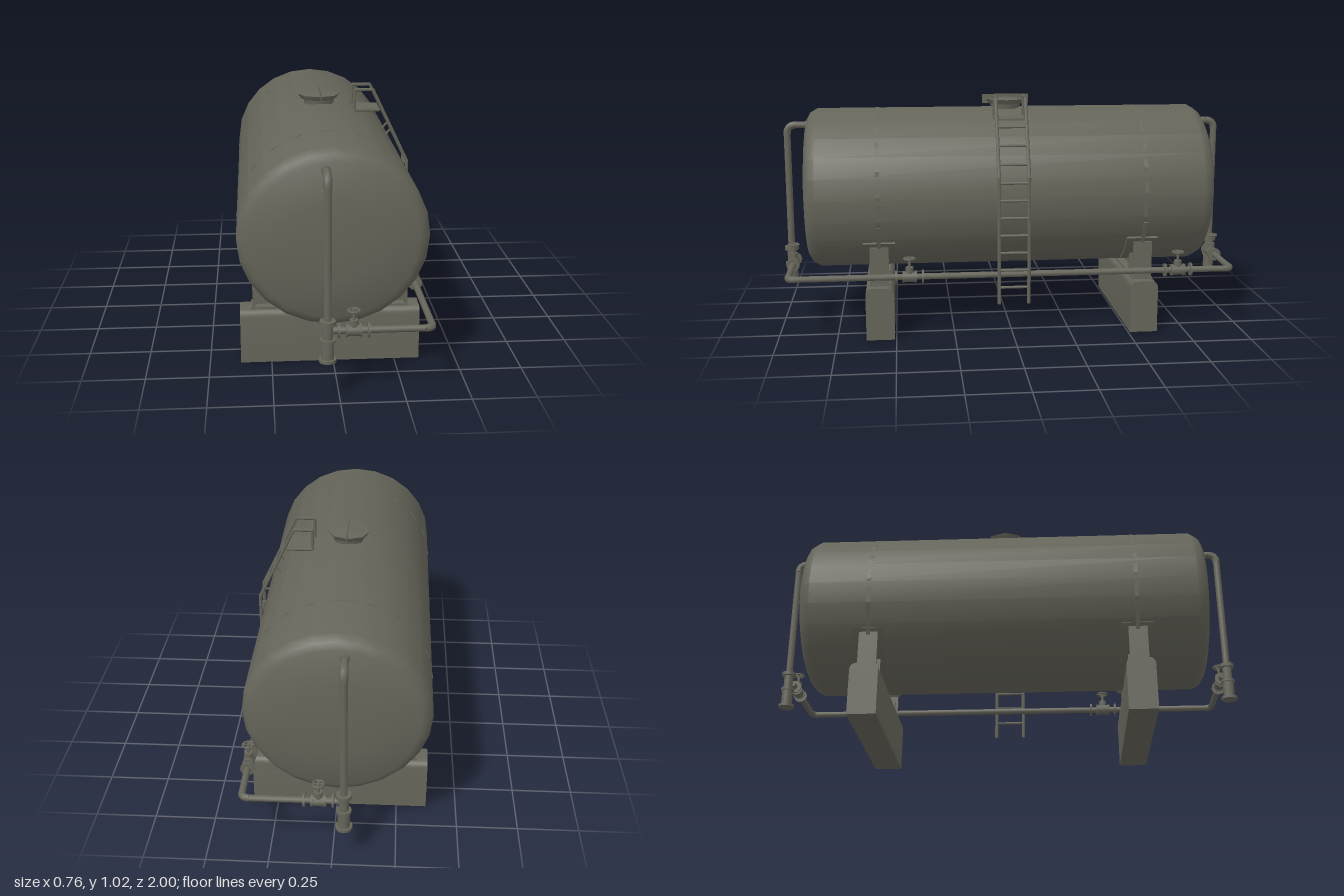
import * as THREE from 'three';
import { toCreasedNormals } from 'three/addons/utils/BufferGeometryUtils.js';

const paint = new THREE.MeshStandardMaterial({ color: 0x66655a });
paint.name = 'olive grey paint';

const CX = -0.015, CY = 0.6, RX = 0.365, RY = 0.35; // tank cross-section
const V = (x, y, z) => new THREE.Vector3(x, y, z);

function add(parent, name, geometry, x = 0, y = 0, z = 0) {
  const mesh = new THREE.Mesh(geometry, paint);
  mesh.name = name;
  mesh.position.set(x, y, z);
  parent.add(mesh);
  return mesh;
}

function box(parent, name, w, h, d, x, y, z) {
  return add(parent, name, new THREE.BoxGeometry(w, h, d), x, y, z);
}

// Round bar (or cone frustum) between two points
function bar(parent, name, a, b, r, sides = 10, rEnd = r) {
  const mesh = add(parent, name, new THREE.CylinderGeometry(rEnd, r, a.distanceTo(b), sides));
  mesh.position.copy(a).lerp(b, 0.5);
  mesh.quaternion.setFromUnitVectors(V(0, 1, 0), b.clone().sub(a).normalize());
  return mesh;
}

// Pipe through corner points, with a rounded elbow at each inner corner
function pipe(parent, name, pts, r, bend) {
  let start = pts[0];
  for (let i = 1; i < pts.length; i++) {
    const p = pts[i];
    if (i === pts.length - 1) { bar(parent, name, start, p, r); break; }
    const into = p.clone().add(start.clone().sub(p).setLength(bend));
    const out = p.clone().add(pts[i + 1].clone().sub(p).setLength(bend));
    bar(parent, name, start, into, r);
    add(parent, name + 'Elbow',
      new THREE.TubeGeometry(new THREE.QuadraticBezierCurve3(into, p, out), 6, r * 1.1, 10));
    start = out;
  }
}

// Curved band hugging the tank between two angles in degrees
function band(parent, name, from, to, thick, width, z) {
  const shape = new THREE.Shape(), n = 14, rad = Math.PI / 180;
  for (let i = 0; i <= 2 * n + 1; i++) {
    const outer = i <= n;
    const t = (outer ? from + (to - from) * i / n : to - (to - from) * (i - n - 1) / n) * rad;
    const o = outer ? thick : -0.01;
    const x = CX + (RX + o) * Math.cos(t), y = CY + (RY + o) * Math.sin(t);
    if (i) shape.lineTo(x, y); else shape.moveTo(x, y);
  }
  const g = new THREE.ExtrudeGeometry(shape, { depth: width, bevelEnabled: false });
  add(parent, name, g, 0, 0, z - width / 2);
}

// Valve centred on a pipe that runs along local x, with a handwheel on top
function valve(parent, x, y, z, turn) {
  const g = new THREE.Group();
  g.name = 'valve';
  for (const s of [-1, 1]) {
    bar(g, 'valveFlange', V(s * 0.052, 0, 0), V(s * 0.06, 0, 0), 0.029, 12);
    bar(g, 'valveCollar', V(s * 0.022, 0, 0), V(s * 0.03, 0, 0), 0.026, 12);
  }
  bar(g, 'valveBody', V(-0.025, 0, 0), V(0.025, 0, 0), 0.023, 12);
  bar(g, 'valveBonnet', V(0, 0, 0), V(0, 0.042, 0), 0.017, 10);
  bar(g, 'valveStem', V(0, 0.04, 0), V(0, 0.084, 0), 0.006, 8);
  const wheel = add(g, 'handwheel', new THREE.TorusGeometry(0.023, 0.0045, 6, 14), 0, 0.078, 0);
  wheel.rotation.x = Math.PI / 2;
  box(g, 'wheelSpoke', 0.044, 0.005, 0.007, 0, 0.078, 0);
  box(g, 'wheelSpoke', 0.007, 0.005, 0.044, 0, 0.078, 0);
  g.position.set(x, y, z);
  g.rotation.y = turn;
  parent.add(g);
}

function group(parent, name) {
  const g = new THREE.Group();
  g.name = name;
  parent.add(g);
  return g;
}

export function createModel() {
  const model = new THREE.Group();
  model.name = 'storageTank';

  // Tank shell with bevelled rims and shallow conical ends
  const half = [[0.365, 0.825], [0.345, 0.858], [0.318, 0.873], [0.17, 0.888], [0, 0.902]];
  const profile = [
    ...half.slice().reverse().map(([r, z]) => new THREE.Vector2(r, -z)),
    ...half.map(([r, z]) => new THREE.Vector2(r, z)),
  ];
  const shell = new THREE.LatheGeometry(profile, 24);
  shell.rotateX(Math.PI / 2);
  shell.scale(1, RY / RX, 1);
  add(model, 'tankShell', toCreasedNormals(shell, 0.55), CX, CY, 0);

  // Foundation blocks, saddles and hold-down straps
  for (const s of [-1, 1]) {
    const z = s * 0.567;
    const support = group(model, 'support');
    const outline = new THREE.Shape();
    outline.moveTo(-0.06, 0);
    outline.lineTo(0.06, 0);
    outline.lineTo(0.06, 0.195);
    outline.quadraticCurveTo(0.058, 0.223, 0.035, 0.225);
    outline.lineTo(-0.035, 0.225);
    outline.quadraticCurveTo(-0.058, 0.223, -0.06, 0.195);
    const block = new THREE.ExtrudeGeometry(outline, { depth: 0.727, bevelEnabled: false, curveSegments: 5 });
    block.rotateY(Math.PI / 2);
    add(support, 'foundationBlock', toCreasedNormals(block, 0.6), -0.375, 0, z);

    box(support, 'saddleBase', 0.64, 0.008, 0.085, -0.01, 0.229, z);
    box(support, 'saddleWeb', 0.62, 0.165, 0.014, -0.01, 0.306, z);
    for (const x of [-0.318, 0.298]) box(support, 'saddleEndPlate', 0.012, 0.165, 0.08, x, 0.307, z);
    for (const x of [-0.222, 0.215]) box(support, 'saddleRib', 0.008, 0.1, 0.08, x, 0.275, z);
    band(support, 'saddlePad', -62, -33, 0.008, 0.135, z);
    band(support, 'saddlePad', -147, -118, 0.008, 0.135, z);
    band(support, 'strap', -33, 213, 0.0015, 0.018, z);
    for (const side of [-1, 1]) {
      const lug = box(support, 'strapLug', 0.006, 0.12, 0.016, CX + side * 0.335, 0.43, z);
      lug.rotation.z = -side * 0.42;
    }
  }

  // Manhole: neck, flared octagonal lid and hinge fin
  const hatch = group(model, 'manhole');
  bar(hatch, 'hatchNeck', V(-0.017, 0.93, 0), V(-0.017, 0.966, 0), 0.062, 12, 0.068);
  bar(hatch, 'hatchLid', V(-0.018, 0.964, 0), V(-0.018, 0.984, 0), 0.078, 8, 0.09);
  add(hatch, 'hatchCrown', new THREE.ConeGeometry(0.085, 0.01, 8), -0.018, 0.988, 0);
  box(hatch, 'hatchFin', 0.004, 0.04, 0.205, -0.013, 0.985, 0);

  // Ladder with bent rails, rungs and a small top platform
  const ladder = group(model, 'ladder');
  const rail = [[0.37, 0.15], [0.37, 0.688], [0.215, 1.01], [0.135, 1.01], [0.135, 0.92], [0.245, 0.92]];
  for (const z of [-0.063, 0.063]) {
    for (let i = 1; i < rail.length; i++) {
      bar(ladder, 'ladderRail', V(...rail[i - 1], z), V(...rail[i], z), 0.0075, 6);
    }
    for (const y of [0.5, 0.66]) bar(ladder, 'ladderBracket', V(0.33, y, z), V(0.37, y, z), 0.005, 6);
    bar(ladder, 'ladderBracket', V(0.265, 0.8, z), V(0.3, 0.84, z), 0.005, 6);
  }
  for (let i = 0; i < 10; i++) {
    const y = 0.222 + i * 0.0745;
    const x = y < 0.688 ? 0.37 : 0.37 - (y - 0.688) * 0.481;
    bar(ladder, 'ladderRung', V(x, y, -0.063), V(x, y, 0.063), 0.006, 6);
  }
  box(ladder, 'platform', 0.112, 0.007, 0.13, 0.19, 0.92, 0);

  // Pipework: side main with end branches, and a riser at each end
  const piping = group(model, 'pipework');
  const py = 0.275, pz = 0.947, px = 0.352;
  pipe(piping, 'mainPipe', [
    V(-0.045, py, pz), V(px, py, pz), V(px, py, -pz), V(-0.045, py, -pz),
  ], 0.0135, 0.03);
  valve(piping, px, py, 0.44, Math.PI / 2);
  valve(piping, px, py, -0.71, Math.PI / 2);
  for (const s of [-1, 1]) {
    const z = s * 0.966, x = -0.047;
    valve(piping, 0.052, py, s * pz, 0);
    pipe(piping, 'riserPipe', [V(x, 0.22, z), V(x, 0.873, z), V(x, 0.873, s * 0.86)], 0.015, 0.04);
    bar(piping, 'riserFlange', V(x, 0.308, z), V(x, 0.324, z), 0.031, 12);
    bar(piping, 'riserTee', V(x, 0.245, z), V(x, 0.31, z), 0.02, 12);
    bar(piping, 'riserFlange', V(x, 0.238, z), V(x, 0.25, z), 0.03, 12);
    bar(piping, 'outletNozzle', V(x, 0.17, z), V(x, 0.24, z), 0.024, 12);
    bar(piping, 'outletFlange', V(x, 0.16, z), V(x, 0.172, z), 0.034, 12);
    bar(piping, 'tankPortFlange', V(x, 0.873, s * 0.868), V(x, 0.873, s * 0.884), 0.019, 12);
  }
  return model;
}
